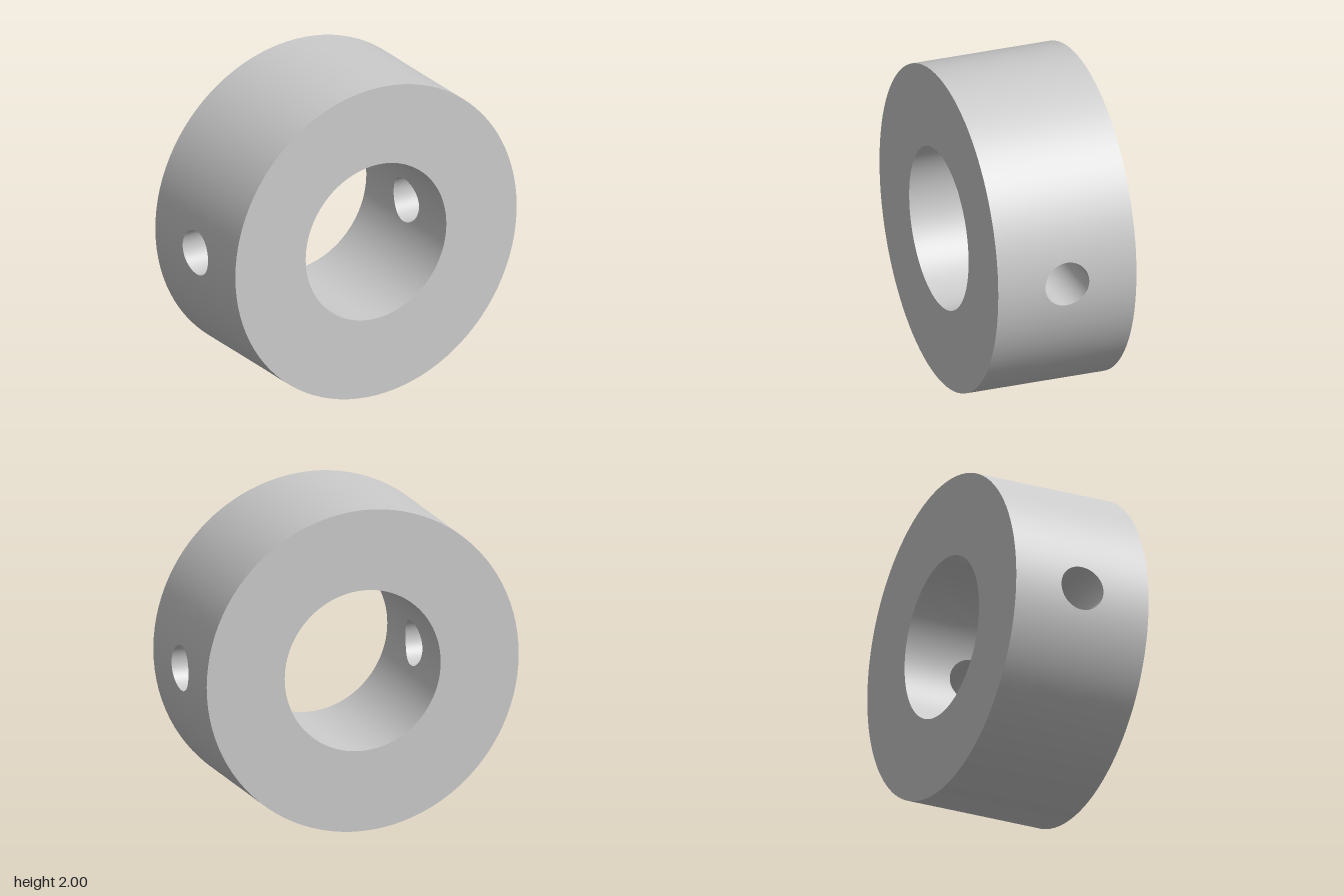
import * as THREE from 'three';
import { ParametricGeometry } from 'three/addons/geometries/ParametricGeometry.js';

const OUTER = 1, INNER = 0.5, HALF = 0.442, HOLE = 0.14, SIDE = 48;
const CORNERS = [[1, -1], [1, 1], [-1, 1], [-1, -1]];

// Point on the rim where the cross hole meets a wall of radius R, as [angle, z]
function rim(u, R) {
  const t = (u - 0.125) * Math.PI * 2;
  return [Math.asin(HOLE * Math.cos(t) / R), HOLE * Math.sin(t)];
}

// Point on the border of a half wall, as [angle, z]
function border(u) {
  const k = Math.floor(u * 4), f = u * 4 - k;
  const a = CORNERS[k % 4], b = CORNERS[(k + 1) % 4];
  return [
    THREE.MathUtils.lerp(a[0], b[0], f) * Math.PI / 2,
    THREE.MathUtils.lerp(a[1], b[1], f) * HALF,
  ];
}

// Half of a cylinder wall, pierced by the cross hole
function halfWall(R, outward) {
  return new ParametricGeometry((u, v, p) => {
    const s = outward ? 1 - v : v;
    const a = rim(u, R), b = border(u);
    const angle = THREE.MathUtils.lerp(a[0], b[0], s);
    p.set(R * Math.cos(angle), R * Math.sin(angle), THREE.MathUtils.lerp(a[1], b[1], s));
  }, SIDE * 4, 16);
}

// Bore of the cross hole, from the outer wall to the inner wall
function bore() {
  return new ParametricGeometry((u, v, p) => {
    const ends = [OUTER, INNER].map((R) => {
      const [angle, z] = rim(u, R);
      return new THREE.Vector3(R * Math.cos(angle), R * Math.sin(angle), z);
    });
    p.lerpVectors(ends[0], ends[1], v);
  }, SIDE * 4, 2);
}

export function createModel() {
  const group = new THREE.Group();
  group.name = 'collar';
  const material = new THREE.MeshStandardMaterial({ color: 0xcccccc });

  const add = (name, geometry, turn, z = 0) => {
    const mesh = new THREE.Mesh(geometry, material);
    mesh.name = name;
    mesh.rotation.y = turn;
    mesh.position.set(0, 1, z);
    group.add(mesh);
  };

  // Curved walls and cross hole, one half per side
  const outer = halfWall(OUTER, true), inner = halfWall(INNER, false), hole = bore();
  for (const [side, turn] of [['left', 0], ['right', Math.PI]]) {
    add(side + 'OuterWall', outer, turn);
    add(side + 'InnerWall', inner, turn);
    add(side + 'HoleBore', hole, turn);
  }

  // Flat end faces
  const face = new THREE.RingGeometry(INNER, OUTER, SIDE * 2, 1, Math.PI / 2);
  add('frontFace', face, 0, HALF);
  add('backFace', face, Math.PI, -HALF);
  return group;
}
